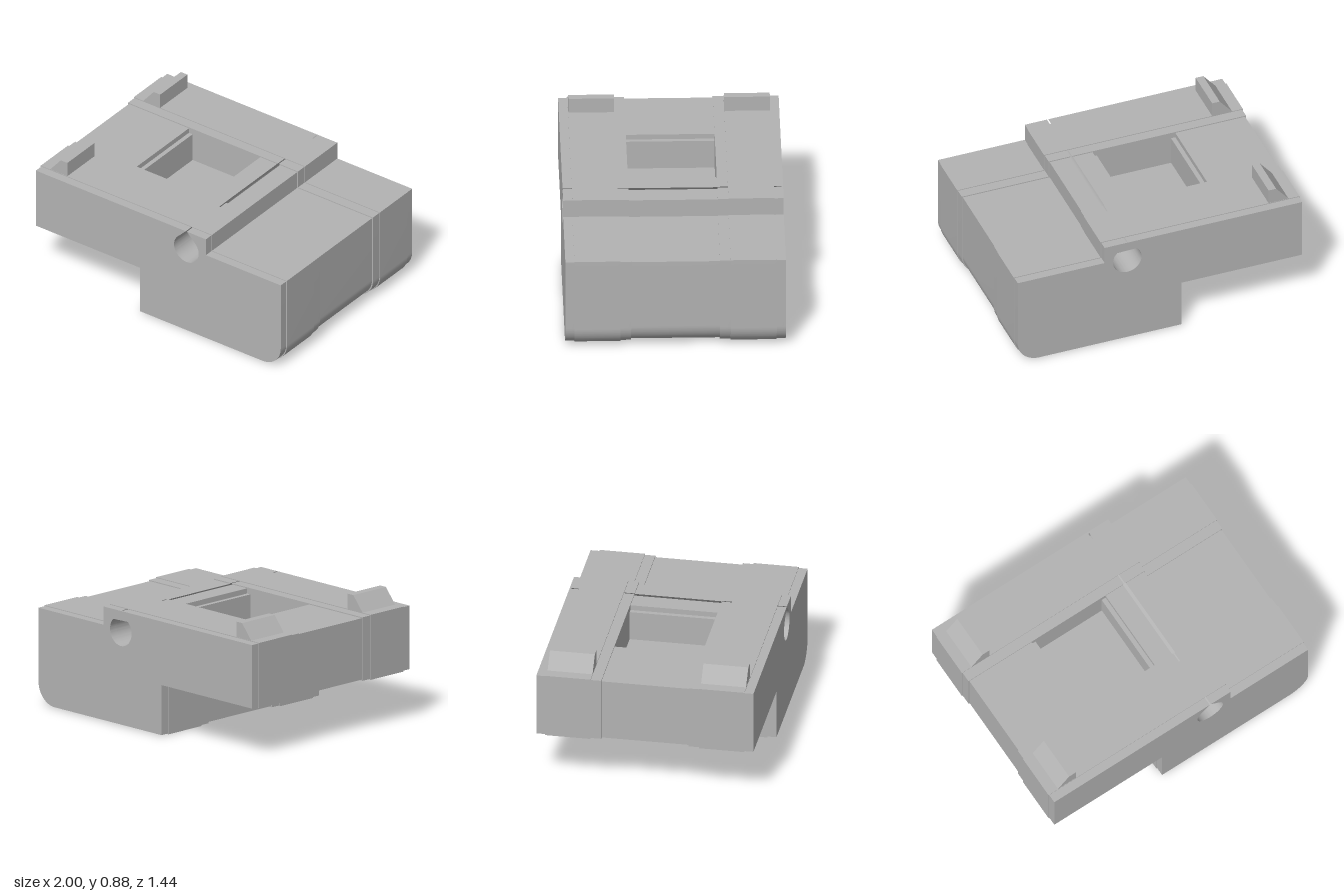
import * as THREE from 'three';
import { toCreasedNormals } from 'three/addons/utils/BufferGeometryUtils.js';

const HOLE = { x: 0.228, y: 0.635, r: 0.1 };

// Teardrop bore outline, its pointed roof cut off level at cutY
function addBore(path, cutY, start) {
  const { x, y, r } = HOLE;
  const half = Math.max(r * Math.SQRT2 - (cutY - y), 0.0005);
  path[start](x + half, cutY);
  path.absarc(x, y, r, Math.PI / 4, -Math.PI * 1.25, true);
  path.lineTo(x - half, cutY);
}

// Side profile of the block, shrunk by inset on every side
function blockShape(inset, { slit = false, pocket = false, boreTop = 0.776 } = {}) {
  const i = inset, top = 0.777 - i, r = 0.15;
  const s = new THREE.Shape();
  s.moveTo(-1 + i, 0.338 + i);
  s.lineTo(-0.155 + i, 0.338 + i);
  s.lineTo(-0.155 + i, i);
  s.lineTo(1 - i - r, i);
  s.absarc(1 - i - r, i + r, r, -Math.PI / 2, 0, false);
  s.lineTo(1 - i, 0.654 - i);
  s.lineTo(0.392 - i, 0.654 - i);
  s.lineTo(0.392 - i, top);
  if (slit) addBore(s, top, 'lineTo');
  if (pocket) {
    // stepped recess open at the top
    [[0.08, top], [0.08, 0.73], [0.05, 0.73], [0.05, 0.53],
      [-0.47, 0.53], [-0.47, 0.73], [-0.5, 0.73], [-0.5, top]]
      .forEach(([x, y]) => s.lineTo(x, y));
  }
  s.lineTo(-1 + i, top);
  s.closePath();
  if (!slit) {
    const hole = new THREE.Path();
    addBore(hole, boreTop, 'moveTo');
    hole.closePath();
    s.holes.push(hole);
  }
  return s;
}

export function createModel() {
  const group = new THREE.Group();
  const grey = new THREE.MeshStandardMaterial({ color: 0xb3b3b3 });
  grey.name = 'grey';

  function slice(name, shape, z0, z1) {
    const geo = new THREE.ExtrudeGeometry(shape, {
      depth: z1 - z0, bevelEnabled: false, curveSegments: 32,
    });
    geo.translate(0, 0, z0);
    const mesh = new THREE.Mesh(toCreasedNormals(geo, 0.5), grey);
    mesh.name = name;
    group.add(mesh);
  }

  // recessed centre with the pocket
  slice('centreBlock', blockShape(0.012, { slit: true, pocket: true }), -0.29, 0.29);

  // shallow steps and full-size bands on both sides
  const step = blockShape(0.005, { slit: true });
  const band = blockShape(0);
  slice('frontInnerStep', step, 0.29, 0.36);
  slice('backInnerStep', step, -0.36, -0.29);
  slice('frontBand', band, 0.36, 0.66);
  slice('backBand', band, -0.66, -0.36);
  slice('frontCheek', step, 0.66, 0.72);
  slice('backCheek', step, -0.71, -0.66);
  // thin end wall where the bore has a flat roof
  slice('backEndWall', blockShape(0.005, { boreTop: 0.71 }), -0.72, -0.71);

  // wedge-shaped catches on the top
  const catchShape = new THREE.Shape([
    [-0.93, 0.77], [-0.785, 0.77], [-0.785, 0.88], [-0.838, 0.88],
  ].map(([x, y]) => new THREE.Vector2(x, y)));
  slice('frontCatch', catchShape, 0.36, 0.658);
  slice('backCatch', catchShape, -0.658, -0.36);

  return group;
}
